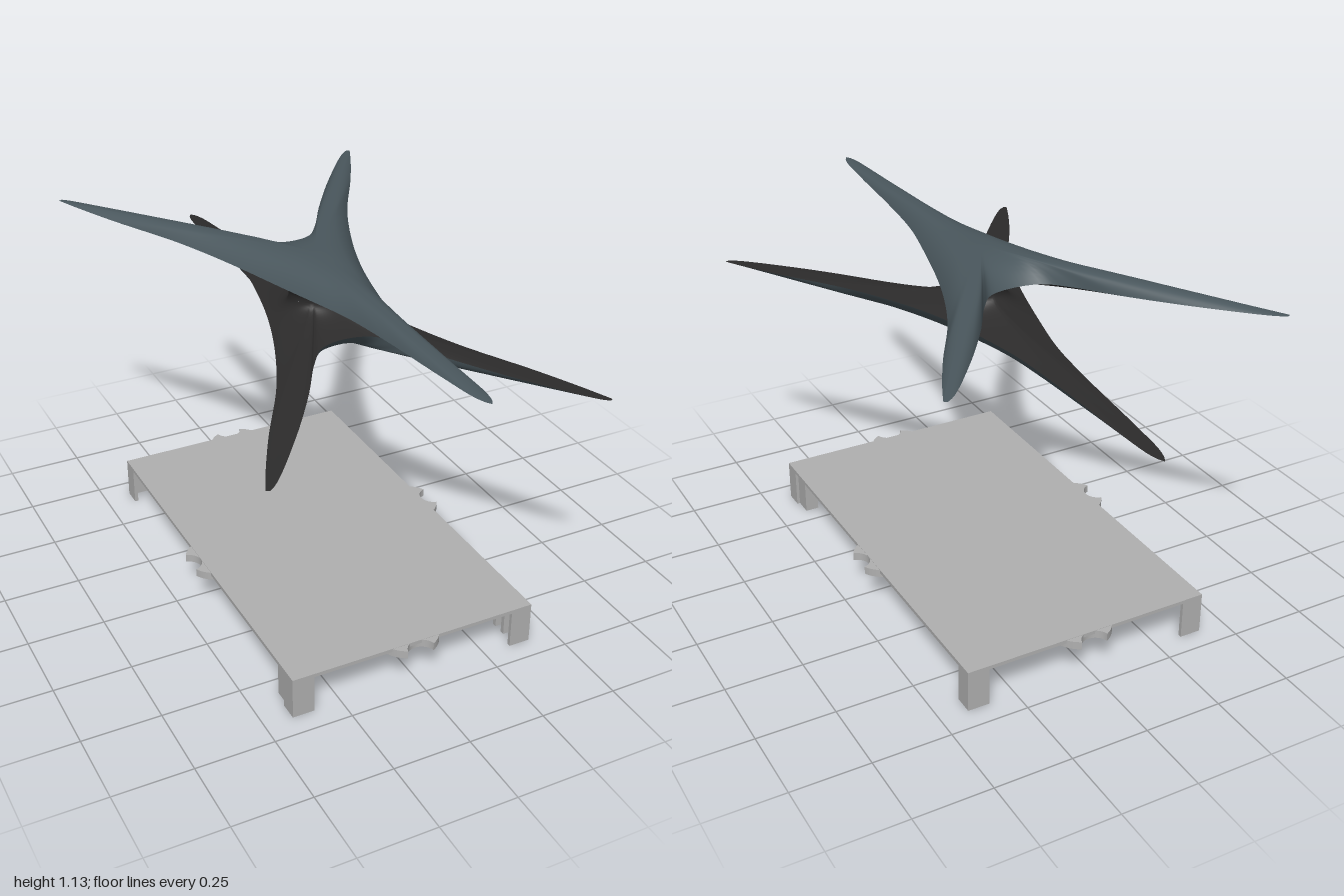
import * as THREE from 'three';

const slate = new THREE.MeshStandardMaterial({ color: 0x4a575d });
slate.name = 'slate outer skin';
const charcoal = new THREE.MeshStandardMaterial({ color: 0x2c2b2b });
charcoal.name = 'charcoal inner skin';
const grey = new THREE.MeshStandardMaterial({ color: 0xb0b0b0 });
grey.name = 'grey base';

// Right half of the three-armed outline, from the front tip to the back notch [x, z]
const HALF = [
  [0, 1], [0.017, 0.96], [0.032, 0.8], [0.047, 0.55], [0.067, 0.35], [0.1, 0.2], [0.155, 0],
  [0.215, -0.17], [0.3, -0.36], [0.43, -0.585], [0.52, -0.76], [0.54, -0.81], [0.512, -0.795],
  [0.37, -0.625], [0.235, -0.435], [0.145, -0.29], [0.085, -0.22], [0, -0.2],
];
const MID = 1; // height of the neck's middle

function named(mesh, name) {
  mesh.name = name;
  return mesh;
}

function box(name, x0, x1, y0, y1, z0, z1) {
  const m = named(new THREE.Mesh(new THREE.BoxGeometry(x1 - x0, y1 - y0, z1 - z0), grey), name);
  m.position.set((x0 + x1) / 2, (y0 + y1) / 2, (z0 + z1) / 2);
  return m;
}

// Smooth surface through closed rings of equal length, from the centre outwards
function loft(rings, flip) {
  const n = rings[0].length, index = [];
  for (let r = 0; r < rings.length - 1; r++) {
    for (let i = 0; i < n; i++) {
      const j = (i + 1) % n;
      const a = r * n + i, b = r * n + j, c = a + n, d = b + n;
      if (flip) index.push(a, d, c, a, b, d);
      else index.push(a, c, d, a, d, b);
    }
  }
  const g = new THREE.BufferGeometry().setFromPoints(rings.flat());
  g.setIndex(index);
  g.computeVertexNormals();
  return g;
}

// One three-armed half: domed outer skin and an inner skin flaring from the neck
function makeStar(name) {
  const pts = [...HALF, ...HALF.slice(1, -1).reverse().map(([x, z]) => [-x, z])];
  const curve = new THREE.CatmullRomCurve3(pts.map(([x, z]) => new THREE.Vector3(x, 0, z)), true);
  curve.arcLengthDivisions = 1000;
  const outline = curve.getSpacedPoints(260).slice(0, -1);
  const crest = (r) => 0.135 - 0.025 * r;
  const edge = (r) => 0.06 + 0.05 * r;

  const outer = [0, 0.15, 0.3, 0.45, 0.6, 0.7, 0.8, 0.88, 0.94, 0.98, 1].map((s) => outline.map((p) => {
    const R = p.length();
    const y = crest(s * R) - Math.max(0, crest(R) - edge(R)) * s ** 4;
    return new THREE.Vector3(p.x * s, y, p.z * s);
  }));

  const inner = [];
  for (let k = 0; k <= 14; k++) {
    const t = k / 14, h = t ** 2.5;
    inner.push(outline.map((p) => {
      const R = p.length(), r = 0.08 + (R - 0.08) * h;
      return new THREE.Vector3((p.x / R) * r, edge(R) * t, (p.z / R) * r);
    }));
  }

  const star = named(new THREE.Group(), name);
  star.add(named(new THREE.Mesh(loft(outer, false), slate), name + 'OuterSkin'));
  star.add(named(new THREE.Mesh(loft(inner, true), charcoal), name + 'InnerSkin'));
  star.position.y = MID;
  return star;
}

// Notched ring with a small tube hub; the notch faces local +x
function makeRing(name) {
  const a = 0.454, b = 1.797;
  const shape = new THREE.Shape();
  shape.absarc(0, 0, 0.1, a, Math.PI * 2 - a, false);
  shape.absarc(0.1, 0, 0.045, -b, b, true);
  shape.closePath();
  shape.holes.push(new THREE.Path().absarc(0, 0, 0.04, 0, Math.PI * 2, true));
  const disc = new THREE.ExtrudeGeometry(shape, { depth: 0.026, bevelEnabled: false, curveSegments: 32 });
  disc.rotateX(Math.PI / 2);

  const tube = new THREE.Shape().absarc(0, 0, 0.021, 0, Math.PI * 2, false);
  tube.holes.push(new THREE.Path().absarc(0, 0, 0.011, 0, Math.PI * 2, true));
  const hub = new THREE.ExtrudeGeometry(tube, { depth: 0.044, bevelEnabled: false, curveSegments: 12 });
  hub.rotateX(Math.PI / 2);

  const g = named(new THREE.Group(), name);
  g.add(named(new THREE.Mesh(disc, grey), 'notchedDisc'), named(new THREE.Mesh(hub, grey), 'hub'));
  g.children[0].position.y = 0.136;
  g.children[1].position.y = 0.134;
  return g;
}

// Corner leg extruded from a floor plan given inwards from the corner [x, z]
function makeLeg(name, sx, sz, plan) {
  const P = plan.map(([u, v]) => new THREE.Vector2(sx * (0.41 - u), sz * (0.68 - v)));
  const geo = new THREE.ExtrudeGeometry(new THREE.Shape(P), { depth: 0.131, bevelEnabled: false });
  geo.rotateX(Math.PI / 2);
  const m = named(new THREE.Mesh(geo, grey), name);
  m.position.y = 0.131;
  return m;
}

export function createModel() {
  const model = named(new THREE.Group(), 'armedFrameOverBase');

  // Two mirrored stars meeting at the neck
  const lower = makeStar('lowerStar');
  lower.rotation.x = Math.PI;
  model.add(makeStar('upperStar'), lower);

  // Base plate with a shallow lip underneath
  const base = named(new THREE.Group(), 'base');
  base.add(box('plate', -0.41, 0.41, 0.13, 0.137, -0.68, 0.68));
  for (const s of [-1, 1]) {
    const x = s * 0.404, z = s * 0.674;
    base.add(box('sideLip', x - 0.006, x + 0.006, 0.125, 0.131, -0.68, 0.68));
    base.add(box('endLip', -0.398, 0.398, 0.125, 0.131, z - 0.006, z + 0.006));
  }

  // Notched rings at the middle of each edge
  for (let i = 0; i < 4; i++) {
    const ring = makeRing('edgeRing');
    const r = i % 2 ? 0.62 : 0.355, a = (i * Math.PI) / 2;
    ring.position.set(Math.cos(a) * r, 0, -Math.sin(a) * r);
    ring.rotation.y = a;
    base.add(ring);
  }

  // Angle-section legs; the front pair carry an extra channel
  const angle = [[0, 0], [0.07, 0], [0.07, 0.012], [0.012, 0.012], [0.012, 0.06], [0, 0.06]];
  const channel = [[0.01, 0.06], [0.01, 0.12], [0.055, 0.12], [0.055, 0.105], [0.025, 0.105],
    [0.025, 0.075], [0.055, 0.075], [0.055, 0.06]];
  for (const s of [-1, 1]) {
    base.add(makeLeg('backLeg', s, -1, angle));
    base.add(makeLeg('frontLeg', s, 1, angle));
    base.add(makeLeg('frontLegChannel', s, 1, channel));
  }

  // Long rectangular slot frame under the middle
  for (const s of [-1, 1]) {
    base.add(box('slotSide', s * 0.025 - 0.005, s * 0.025 + 0.005, 0.115, 0.131, -0.11, 0.11));
    base.add(box('slotEnd', -0.02, 0.02, 0.115, 0.131, s * 0.105 - 0.005, s * 0.105 + 0.005));
  }
  model.add(base);
  return model;
}
